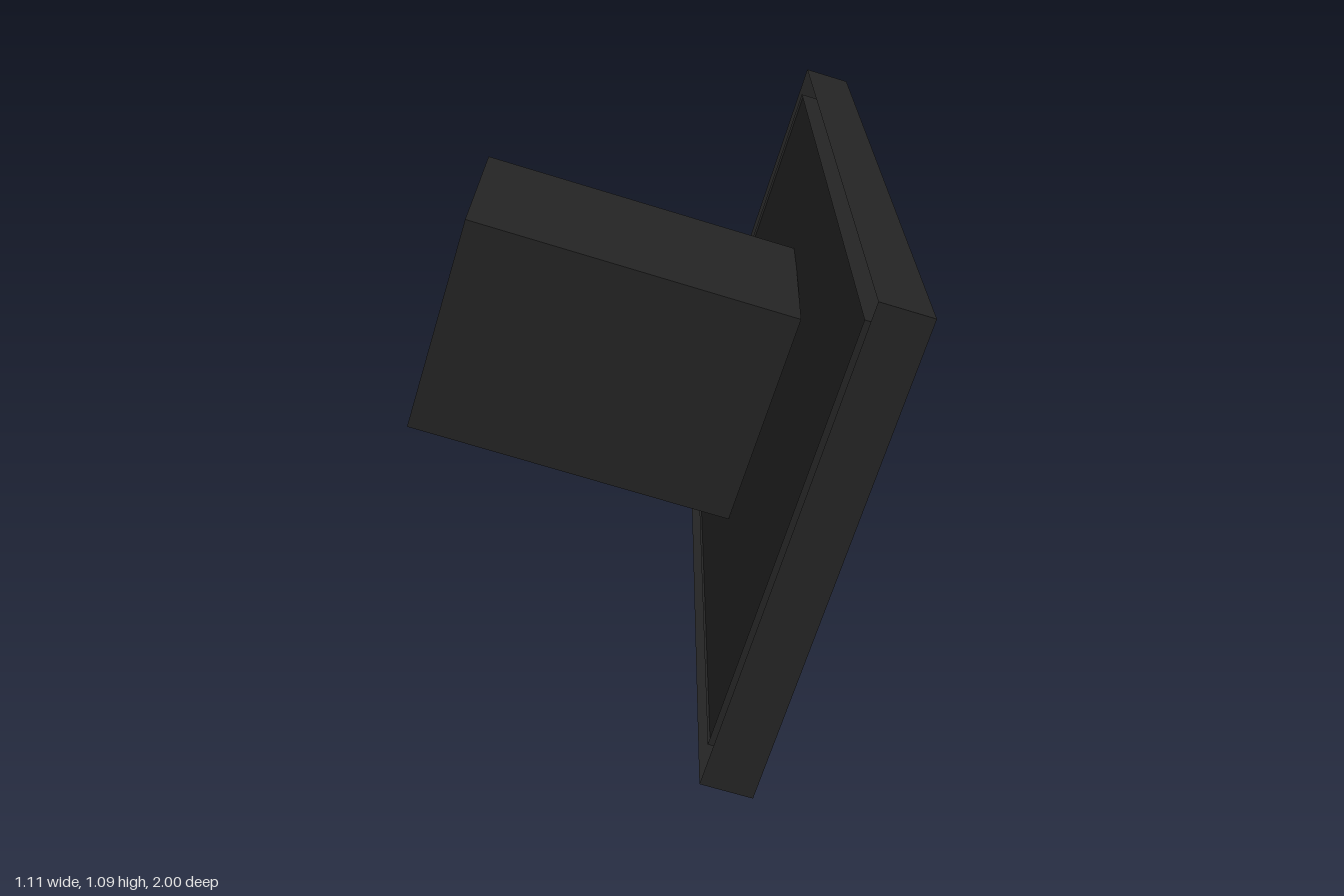
import * as THREE from 'three';

export function createModel() {
  const model = new THREE.Group();
  const charcoal = new THREE.MeshStandardMaterial({ color: 0x232323, side: THREE.DoubleSide });
  charcoal.name = 'charcoal';

  const add = (parent, geometry, name) => {
    const mesh = new THREE.Mesh(geometry, charcoal);
    mesh.name = name;
    parent.add(mesh);
    return mesh;
  };

  const H = 1.1, W = 2, D = 0.116, BORDER = 0.06;

  // Leaning screen: local +x is the display side, y its height, z its width
  const screen = new THREE.Group();
  screen.name = 'screen';
  screen.position.set(0.338, 0.546, 0);
  screen.rotation.z = -THREE.MathUtils.degToRad(17.07);
  model.add(screen);

  // Rim face around the opening
  const rect = (Type, w, h) => new Type([
    new THREE.Vector2(-w / 2, -h / 2), new THREE.Vector2(w / 2, -h / 2),
    new THREE.Vector2(w / 2, h / 2), new THREE.Vector2(-w / 2, h / 2),
  ]);
  const innerW = W - 2 * BORDER, innerH = H - 2 * BORDER;
  const rim = rect(THREE.Shape, W, H);
  rim.holes.push(rect(THREE.Path, innerW, innerH));
  add(screen, new THREE.ShapeGeometry(rim).rotateY(Math.PI / 2), 'rimFace').position.x = D / 2;

  // Thin outer and inner walls, leaving the rim hollow at the back
  const walls = (w, h, facing, name) => {
    for (const s of [-1, 1]) {
      add(screen, new THREE.PlaneGeometry(D, w).rotateX(-s * facing * Math.PI / 2), name).position.y = s * h / 2;
      add(screen, new THREE.PlaneGeometry(D, h).rotateY(s * facing > 0 ? 0 : Math.PI), name).position.z = s * w / 2;
    }
  };
  walls(W, H, 1, 'outerWall');
  walls(innerW, innerH, -1, 'innerWall');

  // Recessed display panel with a hairline gap at one end
  add(screen, new THREE.BoxGeometry(0.035, innerH, innerW - 0.005), 'displayPanel')
    .position.set(-0.035, 0, -0.0025);

  // Wall mount, very slightly twisted against the screen
  const mount = add(model, new THREE.BoxGeometry(0.789, 0.536, 0.47), 'mount');
  const across = new THREE.Vector3(-0.013, -0.02, 0.47).normalize();
  const along = new THREE.Vector3(0.755, -0.23, 0.012).normalize();
  const up = new THREE.Vector3().crossVectors(across, along).normalize();
  along.crossVectors(up, across);
  mount.quaternion.setFromRotationMatrix(new THREE.Matrix4().makeBasis(along, up, across));
  mount.position.set(-0.094, 0.664, 0.021);

  return model;
}
